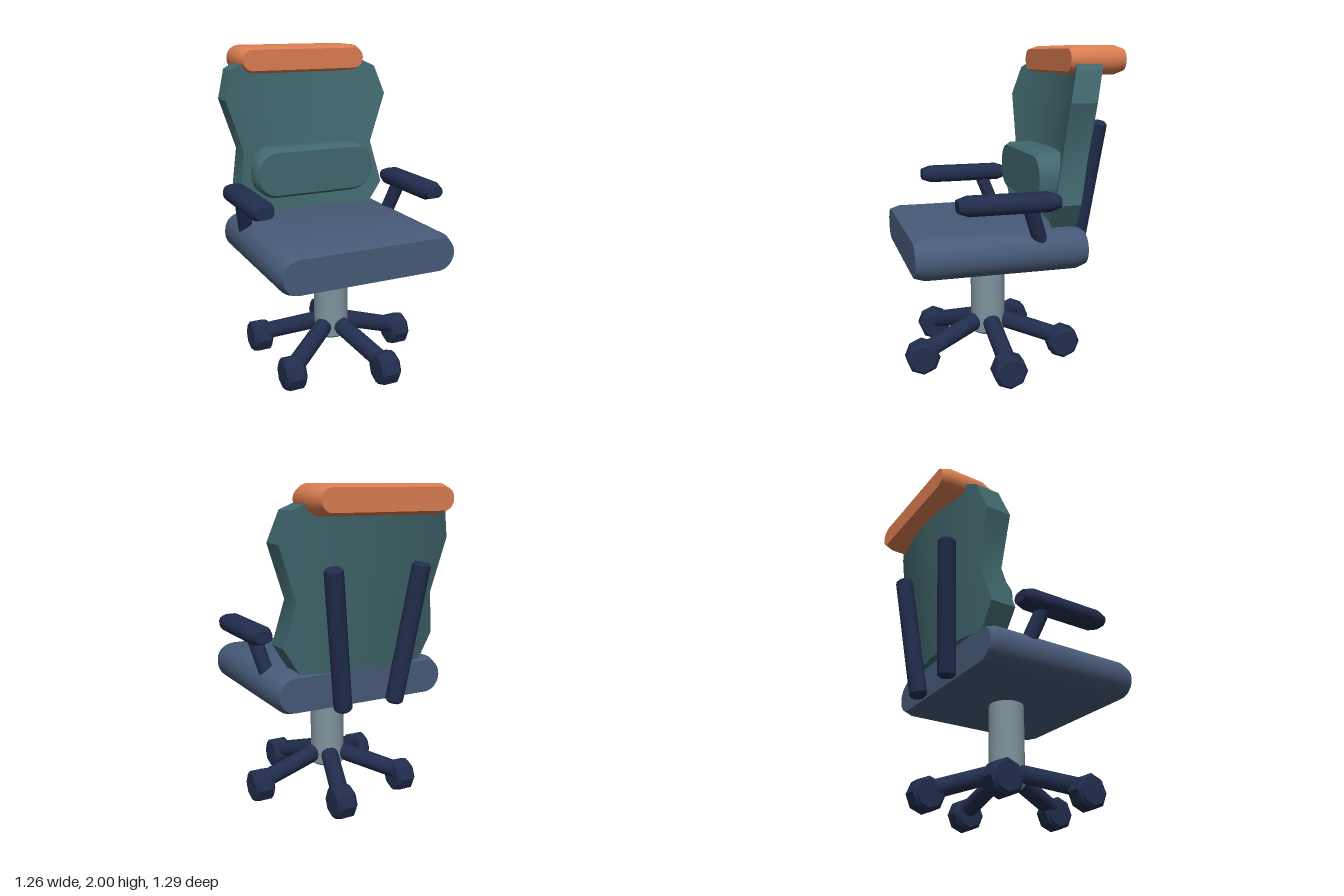
import * as THREE from 'three';
import { toCreasedNormals } from 'three/addons/utils/BufferGeometryUtils.js';

const material = (name, color) => {
  const m = new THREE.MeshStandardMaterial({ color });
  m.name = name;
  return m;
};
const V = (x, y, z) => new THREE.Vector3(x, y, z);

export function createModel() {
  const chair = new THREE.Group();
  chair.name = 'officeChair';
  const navy = material('navy frame', 0x212d4d);
  const blue = material('blue seat', 0x475a78);
  const teal = material('teal back', 0x41686e);
  const orange = material('orange headrest', 0xdb7d51);
  const grey = material('grey column', 0x80939e);

  const add = (name, geometry, mat) => {
    const mesh = new THREE.Mesh(toCreasedNormals(geometry, 0.6), mat);
    mesh.name = name;
    chair.add(mesh);
    return mesh;
  };

  // Rounded slab running from z0 to z1, with chamfered ends
  const pad = (name, mat, [x0, x1], [y0, y1], [z0, z1], radius, bevel = 0.06) => {
    const inset = 0.02;
    const w = (x1 - x0) / 2 - inset, h = (y1 - y0) / 2 - inset;
    const r = Math.min(radius, h - 0.001);
    const s = new THREE.Shape();
    s.absarc(w - r, h - r, r, 0, Math.PI / 2);
    s.absarc(r - w, h - r, r, Math.PI / 2, Math.PI);
    s.absarc(r - w, r - h, r, Math.PI, Math.PI * 1.5);
    s.absarc(w - r, r - h, r, Math.PI * 1.5, Math.PI * 2);
    const g = new THREE.ExtrudeGeometry(s, {
      depth: z1 - z0 - 2 * bevel, bevelThickness: bevel, bevelSize: inset,
      bevelSegments: 1, curveSegments: 6,
    });
    g.translate((x0 + x1) / 2, (y0 + y1) / 2, z0 + bevel);
    return add(name, g, mat);
  };

  // Round bar between two points, with chamfered ends
  const rod = (name, mat, a, b, radius, sides = 12, chamfer = 0.015) => {
    const half = a.distanceTo(b) / 2;
    const g = new THREE.LatheGeometry([
      new THREE.Vector2(0, -half), new THREE.Vector2(radius - chamfer, -half),
      new THREE.Vector2(radius, chamfer - half), new THREE.Vector2(radius, half - chamfer),
      new THREE.Vector2(radius - chamfer, half), new THREE.Vector2(0, half),
    ], sides);
    const mesh = add(name, g, mat);
    mesh.position.copy(a).add(b).multiplyScalar(0.5);
    mesh.quaternion.setFromUnitVectors(V(0, 1, 0), b.clone().sub(a).normalize());
    return mesh;
  };

  // Cushions
  pad('seat', blue, [-0.57, 0.57], [0.7, 0.945], [-0.385, 0.635], 0.12);
  pad('headrest', orange, [-0.437, 0.437], [1.83, 2], [-0.647, -0.305], 0.08);
  pad('lumbarCushion', teal, [-0.41, 0.41], [1.06, 1.375], [-0.36, -0.13], 0.12, 0.03);

  // Backrest: outlined slab, leaning back and curving forward at the sides
  const outline = [[0.935, 0.41], [1.09, 0.505], [1.36, 0.45], [1.68, 0.555], [1.86, 0.5], [1.895, 0.43]];
  const rows = outline.length - 1;
  const back = new THREE.BoxGeometry(2, rows, 0.16, 16, rows, 1);
  const p = back.attributes.position;
  for (let i = 0; i < p.count; i++) {
    const [y, halfWidth] = outline[Math.round(p.getY(i) + rows / 2)];
    const x = p.getX(i) * halfWidth;
    p.setXYZ(i, x, y, p.getZ(i) - 0.211 - 0.142 * y + 0.38 * x * x);
  }
  add('backrest', back, teal);

  // Back supports and arms, mirrored
  for (const [side, s] of [['left', 1], ['right', -1]]) {
    rod(side + 'BackSupport', navy, V(s * 0.175, 0.71, -0.444), V(s * 0.29, 1.555, -0.536), 0.055);
    const xs = [s * 0.48, s * 0.632].sort((a, b) => a - b);
    pad(side + 'Armrest', navy, xs, [1.08, 1.19], [-0.19, 0.4], 0.05);
    rod(side + 'ArmPost', navy, V(s * 0.5, 0.88, -0.105), V(s * 0.552, 1.12, -0.018), 0.045);
  }

  // Column and five-legged base
  const cz = 0.08;
  rod('column', grey, V(0, 0.18, cz), V(0, 0.74, cz), 0.11, 20);
  for (let i = 0; i < 5; i++) {
    const a = (i * Math.PI * 2) / 5;
    const at = (r, y) => V(Math.cos(a) * r, y, cz + Math.sin(a) * r);
    rod('baseLeg' + (i + 1), navy, at(0.07, 0.265), at(0.47, 0.135), 0.056);
    const hub = at(0.485, 0.108);
    rod('caster' + (i + 1), navy, hub.clone().setX(hub.x - 0.064), hub.clone().setX(hub.x + 0.064), 0.105, 8, 0.02);
  }
  return chair;
}
